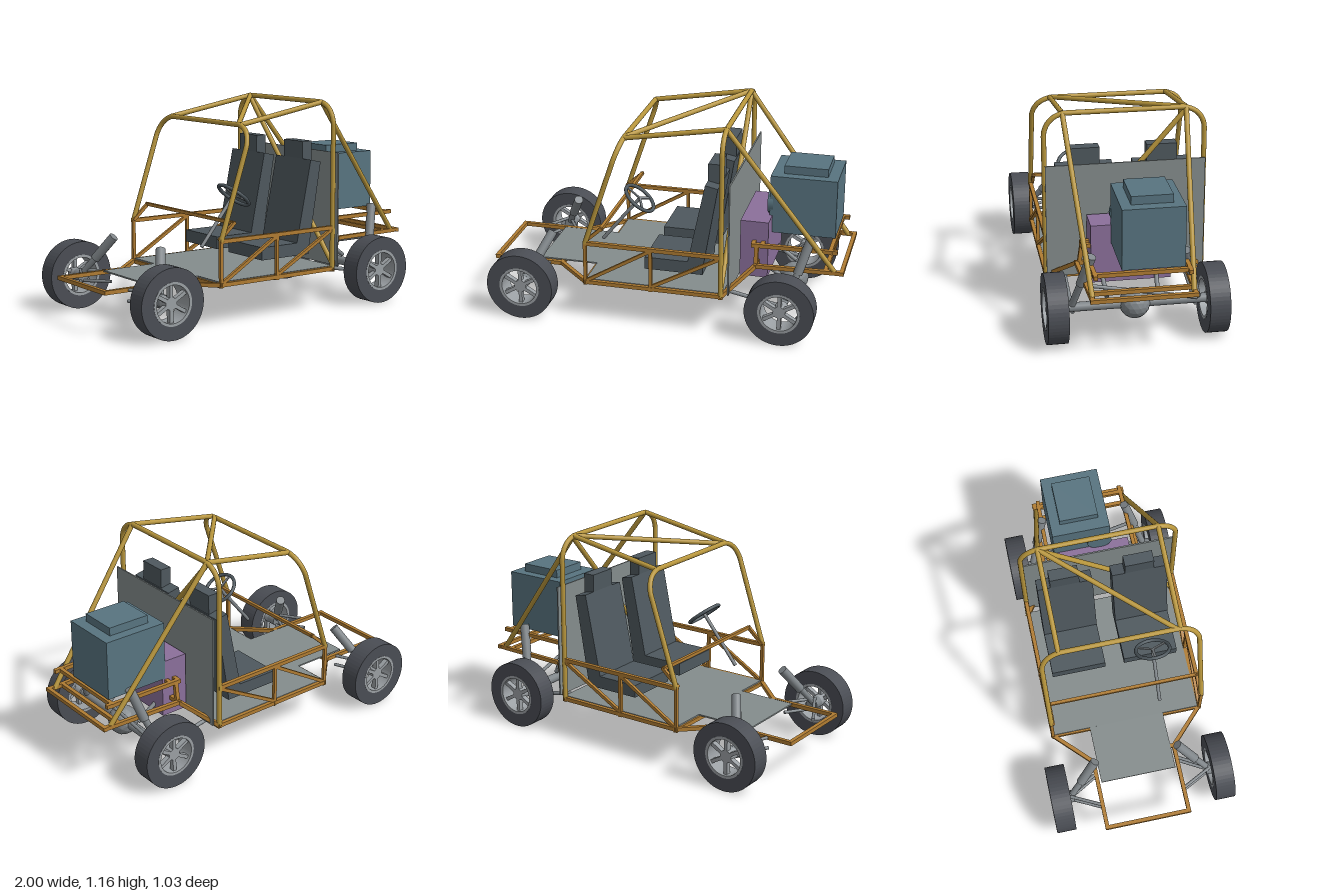
import * as THREE from 'three';

const V = (x, y, z) => new THREE.Vector3(x, y, z);
const paint = (color) => new THREE.MeshStandardMaterial({ color });
const gold = paint(0xb8963c), orange = paint(0xb07c32), steel = paint(0x80868a), rubber = paint(0x4a4d54);
const rimGrey = paint(0x9a9fa3), seatGrey = paint(0x4e585e), panelGrey = paint(0x848c8c);
const engineBlue = paint(0x587480), tankPurple = paint(0x8b709b);

export function createModel() {
  const root = new THREE.Group();

  function add(name, geometry, material, parent = root) {
    const mesh = new THREE.Mesh(geometry, material);
    mesh.name = name;
    parent.add(mesh);
    return mesh;
  }

  // Box given by its limits on each axis
  function block(name, x0, x1, y0, y1, z0, z1, material) {
    const mesh = add(name, new THREE.BoxGeometry(x1 - x0, y1 - y0, z1 - z0), material);
    mesh.position.set((x0 + x1) / 2, (y0 + y1) / 2, (z0 + z1) / 2);
    return mesh;
  }

  // Round rod between two points
  function rod(name, a, b, r = 0.014, material = gold, r2 = r) {
    const dir = b.clone().sub(a);
    const mesh = add(name, new THREE.CylinderGeometry(r2, r, dir.length(), 14), material);
    mesh.position.copy(a).lerp(b, 0.5);
    mesh.quaternion.setFromUnitVectors(V(0, 1, 0), dir.normalize());
    return mesh;
  }

  // Square bar between two points
  function bar(name, a, b, w = 0.022) {
    const mesh = add(name, new THREE.BoxGeometry(w, w, a.distanceTo(b) + w * 0.8), orange);
    mesh.position.copy(a).lerp(b, 0.5);
    mesh.lookAt(b);
    return mesh;
  }

  // Bar on both sides of the car
  const mirrored = (fn, name, a, b, ...rest) => {
    for (const s of [1, -1]) fn(name, V(a[0], a[1], a[2] * s), V(b[0], b[1], b[2] * s), ...rest);
  };
  // Bar straight across the car
  const across = (name, x, y, z) => bar(name, V(x, y, -z), V(x, y, z));

  // Roll hoop with rounded upper corners
  function hoop(name, foot, top, w, r) {
    const down = foot.clone().sub(top).normalize();
    const at = (z, d) => top.clone().addScaledVector(down, d).setZ(z);
    const path = new THREE.CurvePath();
    path.add(new THREE.LineCurve3(foot.clone().setZ(w), at(w, r)));
    path.add(new THREE.QuadraticBezierCurve3(at(w, r), at(w, r * 0.15).setZ(w - r * 0.15), at(w - r, 0)));
    path.add(new THREE.LineCurve3(at(w - r, 0), at(r - w, 0)));
    path.add(new THREE.QuadraticBezierCurve3(at(r - w, 0), at(-w, r * 0.15).setZ(r * 0.15 - w), at(-w, r)));
    path.add(new THREE.LineCurve3(at(-w, r), foot.clone().setZ(-w)));
    add(name, new THREE.TubeGeometry(path, 120, 0.014, 12), gold);
  }

  // Roll cage
  hoop('mainHoop', V(0.36, 0.23, 0), V(0.36, 1.152, 0), 0.43, 0.11);
  hoop('frontHoop', V(-0.4, 0.46, 0), V(-0.2, 1.055, 0), 0.43, 0.11);
  mirrored(rod, 'roofRail', [-0.2, 1.055, 0.33], [0.36, 1.152, 0.33]);
  rod('roofDiagonal', V(-0.2, 1.055, 0.31), V(0.36, 1.152, -0.33));
  rod('hoopDiagonal', V(0.36, 1.14, -0.33), V(0.36, 0.26, 0.43));
  mirrored(rod, 'rearStay', [0.36, 1.152, 0.33], [0.955, 0.36, 0.262]);

  // Lower frame and nose
  mirrored(bar, 'floorRail', [-0.4, 0.23, 0.43], [0.36, 0.23, 0.43]);
  mirrored(bar, 'noseFlare', [-0.6, 0.23, 0.235], [-0.4, 0.23, 0.43]);
  mirrored(bar, 'noseRail', [-0.99, 0.23, 0.235], [-0.6, 0.23, 0.235]);
  across('noseBar', -0.989, 0.23, 0.235);
  across('noseCrossBar', -0.6, 0.23, 0.235);
  for (const x of [-0.4, -0.03, 0.36]) across('floorCrossBar', x, 0.225, 0.43);
  bar('floorDiagonal', V(-0.4, 0.225, -0.43), V(-0.03, 0.225, 0.43));
  bar('floorDiagonal', V(-0.03, 0.225, -0.43), V(0.36, 0.225, 0.43));

  // Side frames and dash
  mirrored(bar, 'sideRail', [-0.4, 0.462, 0.43], [0.36, 0.462, 0.43]);
  for (const x of [-0.4, -0.03]) mirrored(bar, 'sidePost', [x, 0.23, 0.43], [x, 0.46, 0.43], 0.018);
  mirrored(bar, 'sideDiagonal', [-0.39, 0.24, 0.43], [-0.03, 0.455, 0.43], 0.018);
  mirrored(bar, 'sideDiagonal', [-0.03, 0.24, 0.43], [0.36, 0.455, 0.43], 0.018);
  mirrored(bar, 'dashStay', [-0.4, 0.47, 0.42], [-0.31, 0.55, 0.42], 0.018);
  bar('dashBar', V(-0.31, 0.55, -0.42), V(-0.31, 0.55, 0.42), 0.018);

  // Rear engine frame
  mirrored(bar, 'rearLink', [0.36, 0.23, 0.43], [0.52, 0.365, 0.285]);
  mirrored(bar, 'rearLowerRail', [0.52, 0.365, 0.285], [0.98, 0.365, 0.265]);
  mirrored(bar, 'rearUpperRail', [0.5, 0.475, 0.255], [0.95, 0.475, 0.245]);
  mirrored(bar, 'rearPost', [0.52, 0.365, 0.27], [0.52, 0.475, 0.255]);
  for (const x of [0.52, 0.9, 0.988]) across('rearLowerCrossBar', x, 0.365, 0.27);
  for (const x of [0.5, 0.55, 0.92]) across('rearUpperCrossBar', x, 0.475, 0.25);

  // Floor and firewall
  block('floorPanel', -0.4, 0.37, 0.236, 0.244, -0.42, 0.42, panelGrey);
  block('noseFloor', -0.73, -0.4, 0.236, 0.244, -0.215, 0.215, panelGrey);
  block('firewall', 0.396, 0.404, 0.24, 0.875, -0.43, 0.43, panelGrey);

  // Seats
  const backShape = new THREE.Shape([[0.15, 0.33], [0.24, 0.315], [0.325, 0.825], [0.255, 0.84]]
    .map(([x, y]) => new THREE.Vector2(x, y)));
  for (const z of [0.21, -0.21]) {
    block('seatCushion', -0.08, 0.245, 0.315, 0.385, z - 0.155, z + 0.155, seatGrey);
    add('seatBack', new THREE.ExtrudeGeometry(backShape, { depth: 0.31, bevelEnabled: false }), seatGrey)
      .position.z = z - 0.155;
    block('headrest', 0.255, 0.32, 0.8, 0.936, z - 0.082, z + 0.082, seatGrey);
  }

  // Steering
  const hub = V(-0.15, 0.66, 0.2), base = V(-0.365, 0.395, 0.2);
  rod('steeringColumn', base, hub, 0.01, steel);
  const steering = add('steeringWheel', new THREE.TorusGeometry(0.095, 0.01, 10, 36), seatGrey);
  steering.position.copy(hub);
  steering.lookAt(hub.clone().multiplyScalar(2).sub(base));
  for (let i = 0; i < 3; i++) {
    const spoke = add('steeringSpoke', new THREE.BoxGeometry(0.09, 0.014, 0.006), steel, steering);
    const a = Math.PI / 2 + i * Math.PI * 2 / 3;
    spoke.position.set(Math.cos(a) * 0.045, Math.sin(a) * 0.045, 0);
    spoke.rotation.z = a;
  }

  // Engine and tank
  block('engine', 0.56, 0.925, 0.495, 0.825, -0.22, 0.108, engineBlue);
  block('engineCover', 0.625, 0.865, 0.825, 0.87, -0.165, 0.053, engineBlue);
  const pulley = add('enginePulley', new THREE.CylinderGeometry(0.07, 0.07, 0.03, 28), engineBlue);
  pulley.rotation.z = Math.PI / 2;
  pulley.position.set(0.562, 0.66, 0.045);
  block('gearbox', 0.42, 0.575, 0.268, 0.595, -0.215, 0.215, tankPurple);

  // Rear axle and suspension
  rod('rearAxle', V(0.69, 0.19, -0.42), V(0.69, 0.19, 0.42), 0.025, steel);
  const diffMaterial = paint(0x80868a);
  diffMaterial.flatShading = true;
  add('differential', new THREE.IcosahedronGeometry(0.083, 2), diffMaterial).position.set(0.69, 0.19, 0);
  mirrored(rod, 'rearShock', [0.7, 0.21, 0.335], [0.765, 0.38, 0.288], 0.019, steel);
  mirrored(rod, 'rearShockBody', [0.755, 0.35, 0.296], [0.81, 0.53, 0.247], 0.026, steel);
  mirrored(rod, 'trailingArm', [0.36, 0.225, 0.33], [0.69, 0.16, 0.33], 0.011, steel);
  rod('panhardRod', V(0.77, 0.35, 0.27), V(0.72, 0.21, -0.33), 0.01, steel);
  for (const z of [0.155, -0.135]) rod('upperLink', V(0.57, 0.31, z), V(0.68, 0.23, z * 0.95), 0.012, steel);

  // Front suspension
  mirrored(rod, 'frontShock', [-0.76, 0.2, 0.4], [-0.69, 0.345, 0.29], 0.018, steel);
  mirrored(rod, 'frontShockBody', [-0.715, 0.29, 0.33], [-0.65, 0.42, 0.235], 0.026, steel);
  for (const x of [-0.855, -0.67]) {
    for (const y of [0.16, 0.22]) mirrored(rod, 'frontArm', [x, y + 0.01, 0.235], [-0.765, y, 0.41], 0.009, steel);
  }
  mirrored(rod, 'frontHub', [-0.76, 0.19, 0.385], [-0.76, 0.19, 0.44], 0.035, steel);

  // Wheels: square tyre section, thin rim, hub and six spokes
  const ring = (outer, inner, w) => {
    const shape = new THREE.Shape().absarc(0, 0, outer, 0, Math.PI * 2, false);
    shape.holes.push(new THREE.Path().absarc(0, 0, inner, 0, Math.PI * 2, true));
    return new THREE.ExtrudeGeometry(shape, { depth: w, bevelEnabled: false, curveSegments: 28 })
      .translate(0, 0, -w / 2);
  };
  function wheel(name, x, z) {
    const g = new THREE.Group();
    g.name = name;
    add('tyre', ring(0.189, 0.114, 0.11), rubber, g);
    add('rim', ring(0.115, 0.1, 0.112), rimGrey, g);
    add('wheelHub', new THREE.CylinderGeometry(0.034, 0.034, 0.08, 24).rotateX(Math.PI / 2), rimGrey, g);
    for (let i = 0; i < 6; i++) {
      const a = Math.PI / 6 + i * Math.PI / 3;
      const spoke = add('spoke', new THREE.BoxGeometry(0.08, 0.02, 0.03), rimGrey, g);
      spoke.position.set(Math.cos(a) * 0.067, Math.sin(a) * 0.067, 0.025 * Math.sign(z));
      spoke.rotation.z = a;
    }
    g.position.set(x, 0.19, z);
    root.add(g);
  }
  for (const s of [1, -1]) {
    wheel('frontWheel', -0.76, s * 0.461);
    wheel('rearWheel', 0.688, s * 0.424);
  }
  return root;
}
